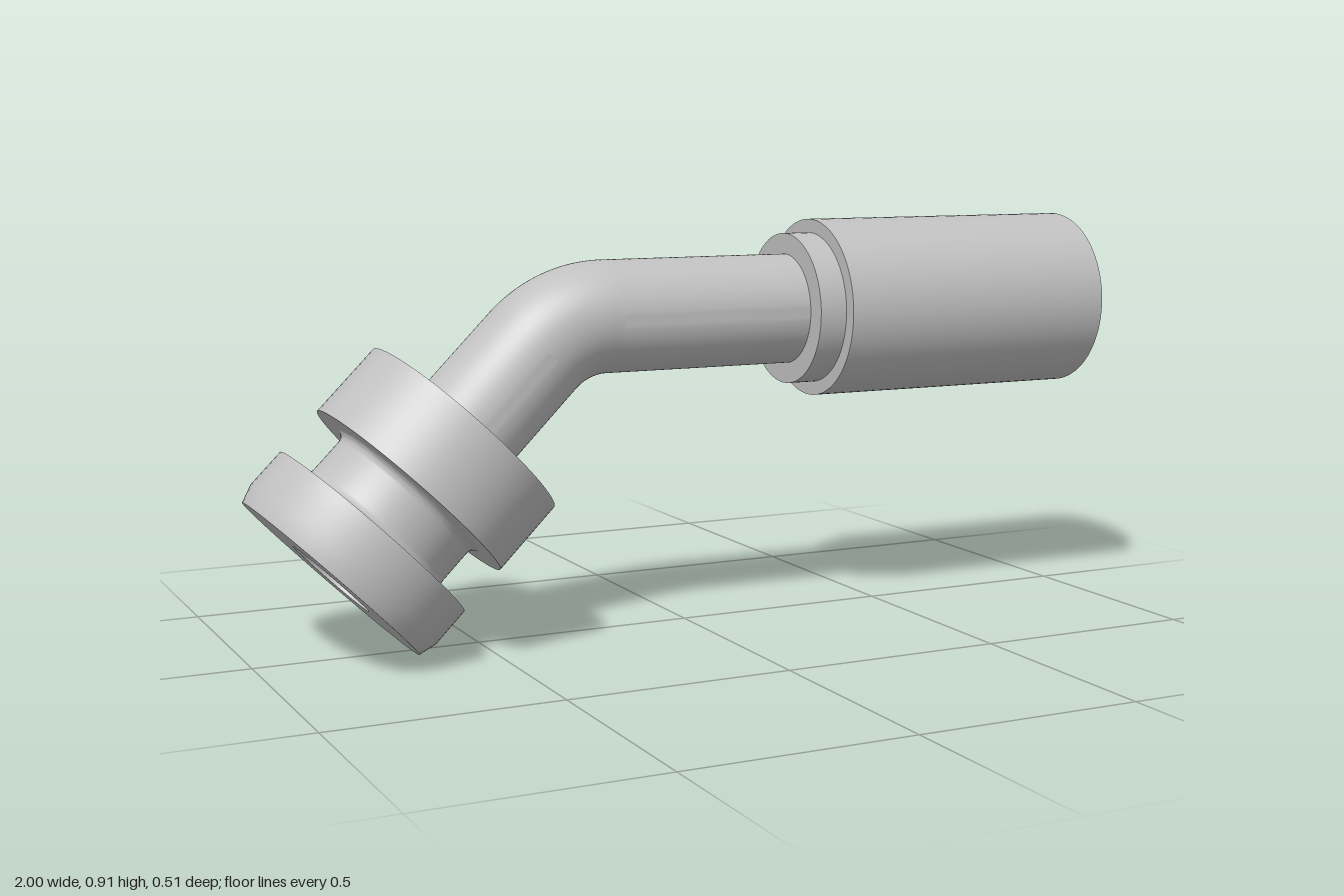
import * as THREE from 'three';
import { toCreasedNormals } from 'three/addons/utils/BufferGeometryUtils.js';

const TUBE = 0.125, BORE = 0.087, AXIS_Y = 0.703, BEND = 0.237, BEND_X = -0.2;

// Points of a concave quarter-round, centred at (r, s), from angle a0 to a1
function fillet(r, s, radius, a0, a1, steps = 6) {
  return Array.from({ length: steps + 1 }, (_, i) => {
    const a = a0 + (a1 - a0) * i / steps;
    return [r + radius * Math.cos(a), s + radius * Math.sin(a)];
  });
}

export function createModel() {
  const steel = new THREE.MeshStandardMaterial({ color: 0xc0c0c0, side: THREE.DoubleSide });
  steel.name = 'steel grey';
  const model = new THREE.Group();
  model.name = 'elbowHoseFitting';

  const add = (name, geometry, x, y, turn) => {
    const mesh = new THREE.Mesh(geometry, steel);
    mesh.name = name;
    mesh.position.set(x, y, 0);
    mesh.rotation.z = turn;
    model.add(mesh);
  };
  // Turned part from [radius, distance along axis] points
  const turned = (profile) => toCreasedNormals(
    new THREE.LatheGeometry(profile.map(([r, s]) => new THREE.Vector2(r, s)), 80), 0.45);

  // Crimped sleeve with its collar and open recess
  add('sleeve', turned([
    [TUBE, 0.255], [0.172, 0.255], [0.172, 0.32], [0.203, 0.32], [0.203, 1],
    [0.184, 1], [0.173, 0.975], [0.173, 0.4], [TUBE, 0.4],
  ]), 0, AXIS_Y, -Math.PI / 2);

  // Straight tube, ending in a chamfered nipple inside the sleeve
  add('straightTube', turned([
    [TUBE, BEND_X], [TUBE, 0.985], [0.115, 1], [BORE, 1], [BORE, BEND_X],
  ]), 0, AXIS_Y, -Math.PI / 2);

  // 45 degree bend, outer skin and bore
  for (const [name, radius] of [['bend', TUBE], ['bendBore', BORE]]) {
    add(name, new THREE.TorusGeometry(BEND, radius, 80, 24, Math.PI / 4),
      BEND_X, AXIS_Y - BEND, Math.PI / 2);
  }

  // Flanged head: chamfered flange, filleted groove, nut and tube stub
  const q = Math.PI / 2;
  add('flangedHead', turned([
    [0.105, 0], [0.245, 0], [0.257, 0.04], [0.257, 0.131],
    ...fillet(0.2, 0.151, 0.02, -q, -2 * q),
    ...fillet(0.2, 0.227, 0.02, 2 * q, q),
    [0.257, 0.247], [0.257, 0.424],
    ...fillet(TUBE + 0.025, 0.449, 0.025, -q, -2 * q),
    [TUBE, 0.65], [BORE, 0.65], [BORE, 0.16], [0.105, 0.12], [0.105, 0],
  ]), -0.827, 0.174, -Math.PI / 4);

  return model;
}
